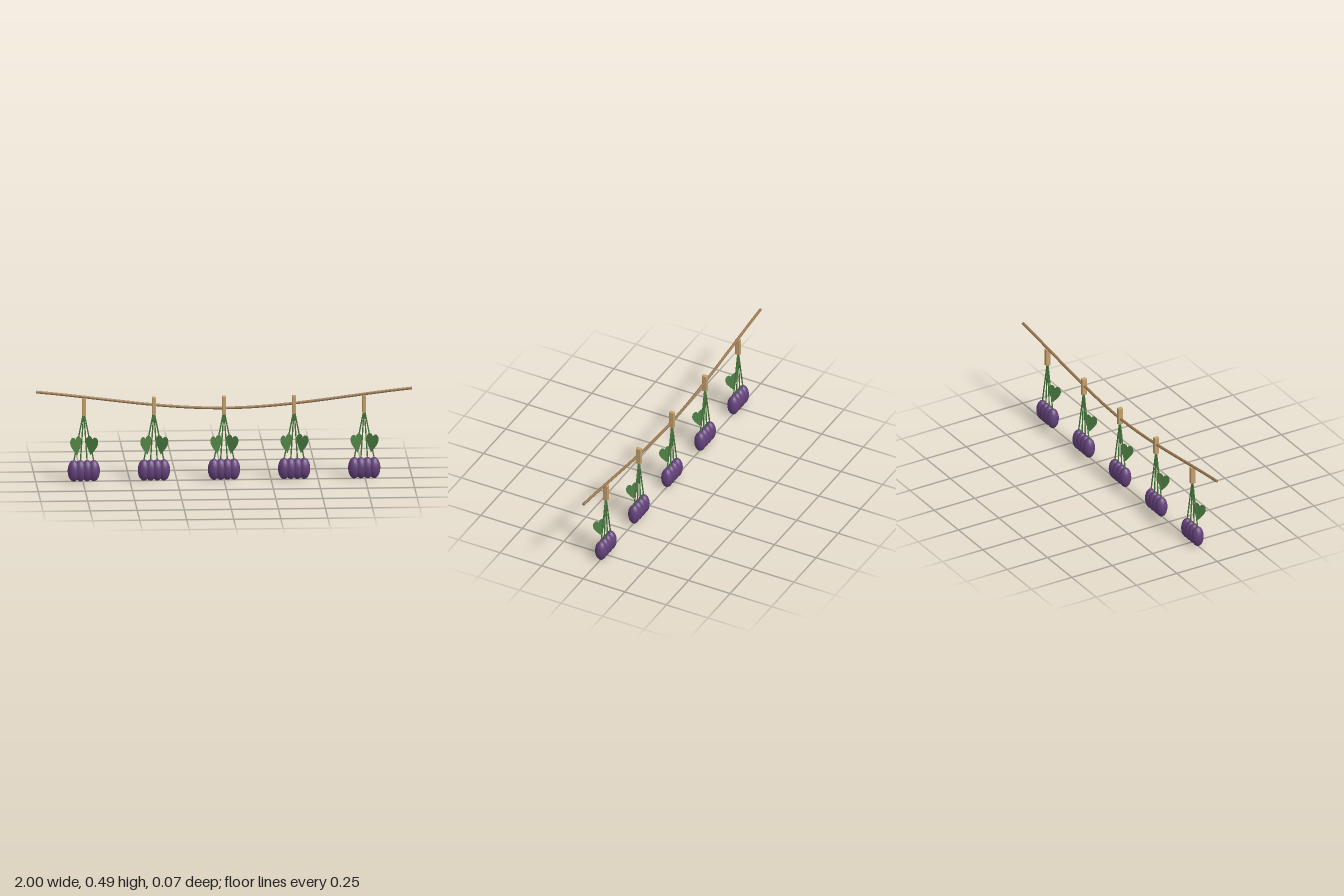
import * as THREE from 'three';
import { RoundedBoxGeometry } from 'three/addons/geometries/RoundedBoxGeometry.js';

const material = (color, extra = {}) => new THREE.MeshStandardMaterial({ color, ...extra });

function addMesh(parent, name, geometry, mat, x = 0, y = 0, z = 0) {
  const mesh = new THREE.Mesh(geometry, mat);
  mesh.name = name;
  mesh.position.set(x, y, z);
  parent.add(mesh);
  return mesh;
}

// Heart-shaped leaf, notch at the top and tip at the bottom
function leafGeometry() {
  const s = new THREE.Shape();
  s.moveTo(0, 0.036);
  s.bezierCurveTo(0.008, 0.058, 0.034, 0.056, 0.037, 0.026);
  s.bezierCurveTo(0.038, 0.002, 0.018, -0.024, 0, -0.052);
  s.bezierCurveTo(-0.018, -0.024, -0.038, 0.002, -0.037, 0.026);
  s.bezierCurveTo(-0.034, 0.056, -0.008, 0.058, 0, 0.036);
  return new THREE.ShapeGeometry(s, 10);
}

export function createModel() {
  const model = new THREE.Group();
  model.name = 'hangingGarland';

  const ropeMat = material(0x9c7a52);
  const pegMat = material(0xc4a06c);
  const stemMat = material(0x4a7a40);
  const leafMat = material(0x4f8245, { side: THREE.DoubleSide });
  const fruitMat = material(0x634179);

  // Sagging rope with closed ends
  const ropeEnd = 0.488;
  const sag = new THREE.CatmullRomCurve3([
    new THREE.Vector3(-0.999, ropeEnd, 0),
    new THREE.Vector3(0, 0.391, 0),
    new THREE.Vector3(0.999, ropeEnd, 0),
  ]);
  addMesh(model, 'rope', new THREE.TubeGeometry(sag, 48, 0.0075, 8), ropeMat);
  for (const side of [-1, 1]) {
    const cap = addMesh(model, 'ropeEnd', new THREE.CircleGeometry(0.0075, 8), ropeMat, side * 0.999, ropeEnd, 0);
    cap.rotation.y = side * Math.PI / 2;
  }

  const pegGeo = new RoundedBoxGeometry(0.02, 0.098, 0.028, 2, 0.003);
  const fruitGeo = new THREE.SphereGeometry(1, 24, 16).scale(0.0325, 0.0575, 0.0325);
  const leafGeo = leafGeometry();

  // Five bunches, each pegged to the rope
  for (let i = -2; i <= 2; i++) {
    const bunch = new THREE.Group();
    bunch.name = 'bunch';
    bunch.position.x = i * 0.3725;
    model.add(bunch);

    addMesh(bunch, 'peg', pegGeo, pegMat, 0, 0.406, 0);

    // Four fruits on stems fanning out from the peg
    for (let k = 0; k < 4; k++) {
      const x = (k - 1.5) * 0.0355;
      addMesh(bunch, 'fruit', fruitGeo, fruitMat, x, 0.0585, 0);
      const path = new THREE.LineCurve3(
        new THREE.Vector3(x * 0.08, 0.36, 0), new THREE.Vector3(x, 0.11, 0));
      addMesh(bunch, 'stem', new THREE.TubeGeometry(path, 1, 0.004, 6), stemMat);
    }

    // A mirrored pair of leaves turned towards each other
    for (const side of [-1, 1]) {
      const leaf = addMesh(bunch, 'leaf', leafGeo, leafMat, side * 0.041, 0.195, 0.016);
      leaf.rotation.set(0, -side * 0.58, -side * 0.13);
    }
  }
  return model;
}
